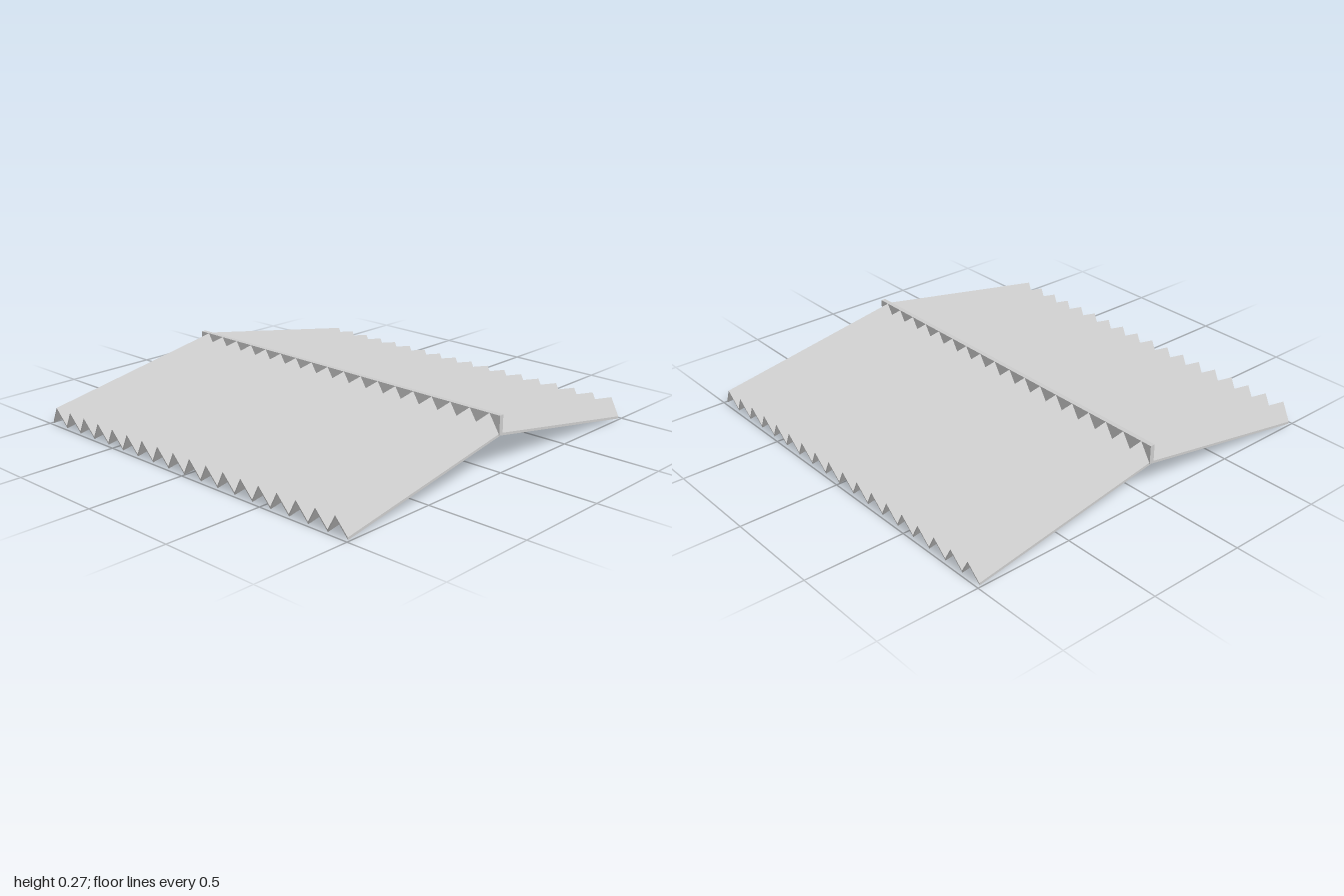
import * as THREE from 'three';

const FOLDS = 18;
const HALF_DEPTH = 0.99;   // half of the roof's extent along z
const SLOPE = THREE.MathUtils.degToRad(10);
const FOLD_HEIGHT = 0.097; // ridge to underside of valley, square to the slope
const THICKNESS = 0.012;
const RIDGE_Y = 0.27;
const BEAM_HALF = 0.012;

// Zigzag section of the folded sheet, valleys at both ends
function foldedSection() {
  const step = HALF_DEPTH / FOLDS;
  const top = [], bottom = [];
  for (let i = 0; i <= FOLDS * 2; i++) {
    const z = -HALF_DEPTH + i * step;
    const h = i % 2 ? 0 : -FOLD_HEIGHT + THICKNESS;
    top.push(new THREE.Vector2(z, h));
    bottom.push(new THREE.Vector2(z, h - THICKNESS));
  }
  return new THREE.Shape([...bottom, ...top.reverse()]);
}

export function createModel() {
  const model = new THREE.Group();
  model.name = 'foldedRoof';
  const material = new THREE.MeshStandardMaterial({ color: 0xcccccc, flatShading: true });

  // Corrugated slope running from the ridge down to the eave
  const length = 0.99 / Math.cos(SLOPE);
  const sheet = new THREE.ExtrudeGeometry(foldedSection(), { depth: length, bevelEnabled: false });
  sheet.rotateY(Math.PI / 2);
  sheet.rotateZ(-SLOPE);
  sheet.translate(0.01, RIDGE_Y, 0);

  for (const [name, turn] of [['leftSlope', 0], ['rightSlope', Math.PI]]) {
    const slope = new THREE.Mesh(sheet, material);
    slope.name = name;
    slope.rotation.y = turn;
    model.add(slope);
  }

  // Thin upright plate along the ridge
  const beamHeight = 0.093;
  const beam = new THREE.Mesh(
    new THREE.BoxGeometry(BEAM_HALF * 2, beamHeight, HALF_DEPTH * 2 + 0.006), material);
  beam.name = 'ridgePlate';
  beam.position.y = RIDGE_Y - beamHeight / 2;
  model.add(beam);

  return model;
}
